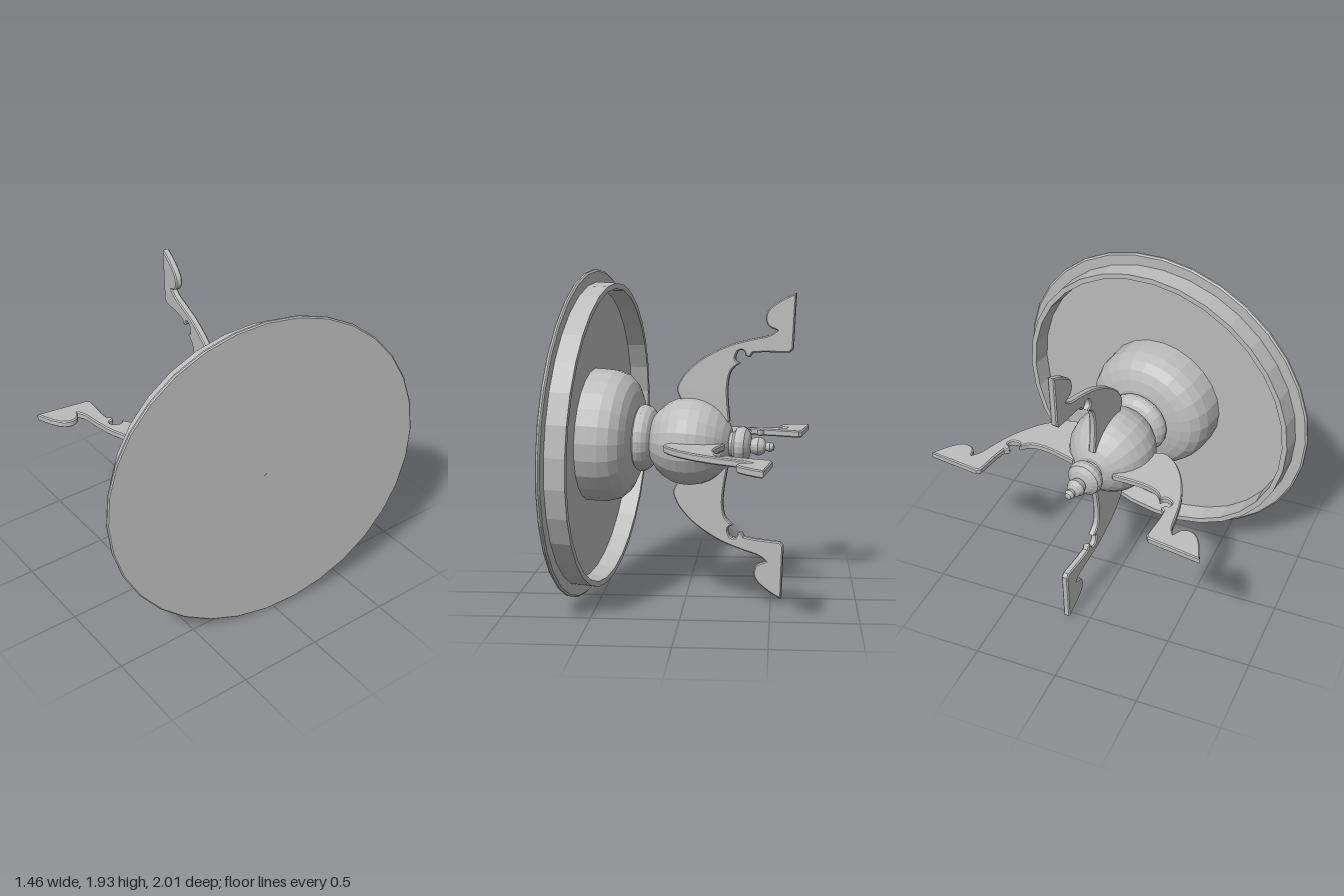
import * as THREE from 'three';

const wood = new THREE.MeshStandardMaterial({ color: 0xbcbcbc });
wood.name = 'grey';

// Faceted mesh: unshared vertices with face normals
function facetMesh(geometry, name) {
  const g = geometry.index ? geometry.toNonIndexed() : geometry;
  g.computeVertexNormals();
  const mesh = new THREE.Mesh(g, wood);
  mesh.name = name;
  return mesh;
}

// Turned part; profile of [radius, height] from the foot end upwards
function turned(profile, sides, name) {
  const points = profile.map(([r, h]) => new THREE.Vector2(r, h));
  return facetMesh(new THREE.LatheGeometry(points, sides), name);
}

// Flat scrolled leg, drawn as radius (x) by height (y)
function legGeometry() {
  const vec = ([x, y]) => new THREE.Vector2(x, y);
  const s = new THREE.Shape();
  s.moveTo(0.885, -1.192);
  // curled toe
  s.splineThru([[0.847, -1.117], [0.795, -1.049], [0.744, -1.026], [0.694, -1.043], [0.67, -1.095]].map(vec));
  // outer sweep up to the knee
  s.splineThru([[0.639, -1.046], [0.61, -0.936], [0.57, -0.816], [0.5, -0.687], [0.426, -0.599],
    [0.364, -0.551], [0.303, -0.528], [0.254, -0.546]].map(vec));
  // root hidden inside the bulb
  s.lineTo(0.2, -0.58);
  s.lineTo(0.1, -0.8);
  s.lineTo(0.135, -0.845);
  // inner edge
  s.splineThru([[0.245, -0.83], [0.345, -0.825], [0.426, -0.842], [0.473, -0.891]].map(vec));
  // round notch and small cusp
  s.splineThru([[0.485, -0.868], [0.507, -0.862], [0.542, -0.878], [0.545, -0.908], [0.519, -0.921]].map(vec));
  s.splineThru([[0.51, -0.943], [0.535, -0.959]].map(vec));
  s.lineTo(0.543, -1.019);
  s.lineTo(0.549, -1.171);
  s.lineTo(0.57, -1.19);
  s.closePath();
  const bevel = 0.007;
  const g = new THREE.ExtrudeGeometry(s, {
    depth: 0.028, curveSegments: 4, bevelEnabled: true, bevelSegments: 1,
    bevelSize: bevel, bevelThickness: bevel, bevelOffset: -bevel,
  });
  return g.translate(0, 0, -0.014);
}

export function createModel() {
  const model = new THREE.Group();
  model.name = 'tippedPedestalTable';
  const table = new THREE.Group();
  table.name = 'table';
  model.add(table);

  // Round top with a thin overhanging edge and a hollow apron below
  table.add(turned([[0, -0.03], [0.85, -0.03], [0.86, -0.14], [0.892, -0.14], [0.892, -0.024],
    [0.955, -0.024], [0.965, -0.016], [0.965, -0.006], [0.958, 0], [0, 0]], 32, 'tableTop'));

  // Small plug in the middle of the top
  const plug = facetMesh(new THREE.CylinderGeometry(0.017, 0.017, 0.004, 12), 'centrePlug');
  table.add(plug);

  // Stepped finial under the column
  table.add(turned([[0, -1.11], [0.02, -1.105], [0.03, -1.085], [0.022, -1.06], [0.04, -1.05],
    [0.055, -1.02], [0.045, -0.985], [0.035, -0.975], [0.07, -0.965], [0.1, -0.945],
    [0.108, -0.92], [0.1, -0.89], [0.07, -0.87], [0.07, -0.83]], 20, 'finial'));

  // Column bulb
  const bulb = [];
  for (let i = 0; i <= 10; i++) {
    const a = -1.2 + i * 0.222;
    bulb.push([0.257 * Math.cos(a), -0.616 + 0.255 * Math.sin(a)]);
  }
  bulb.unshift([0, -0.855]);
  bulb.push([0.12, -0.37]);
  table.add(turned(bulb, 20, 'bulb'));

  // Neck ring and flared bell meeting the top
  table.add(turned([[0.1, -0.41], [0.135, -0.408], [0.17, -0.39], [0.19, -0.365], [0.197, -0.34],
    [0.19, -0.315], [0.17, -0.3]], 20, 'neckRing'));
  table.add(turned([[0.1, -0.306], [0.2, -0.306], [0.27, -0.29], [0.325, -0.265], [0.367, -0.22],
    [0.387, -0.16], [0.39, -0.1], [0.39, -0.025]], 24, 'bell'));

  // Four legs at quarter turns
  const leg = legGeometry();
  for (let i = 0; i < 4; i++) {
    const mesh = facetMesh(leg, 'leg' + (i + 1));
    mesh.rotation.y = i * Math.PI / 2;
    table.add(mesh);
  }

  // Lay the table on its side, slightly turned
  const axis = new THREE.Vector3(0.988, 0.04, 0.148).normalize();
  const up = new THREE.Vector3(0, 1, 0).addScaledVector(axis, -axis.y).normalize();
  const side = new THREE.Vector3().crossVectors(up, axis);
  table.quaternion.setFromRotationMatrix(new THREE.Matrix4().makeBasis(up, axis, side));
  table.position.set(0.58, 0.966, 0.046);
  return model;
}
